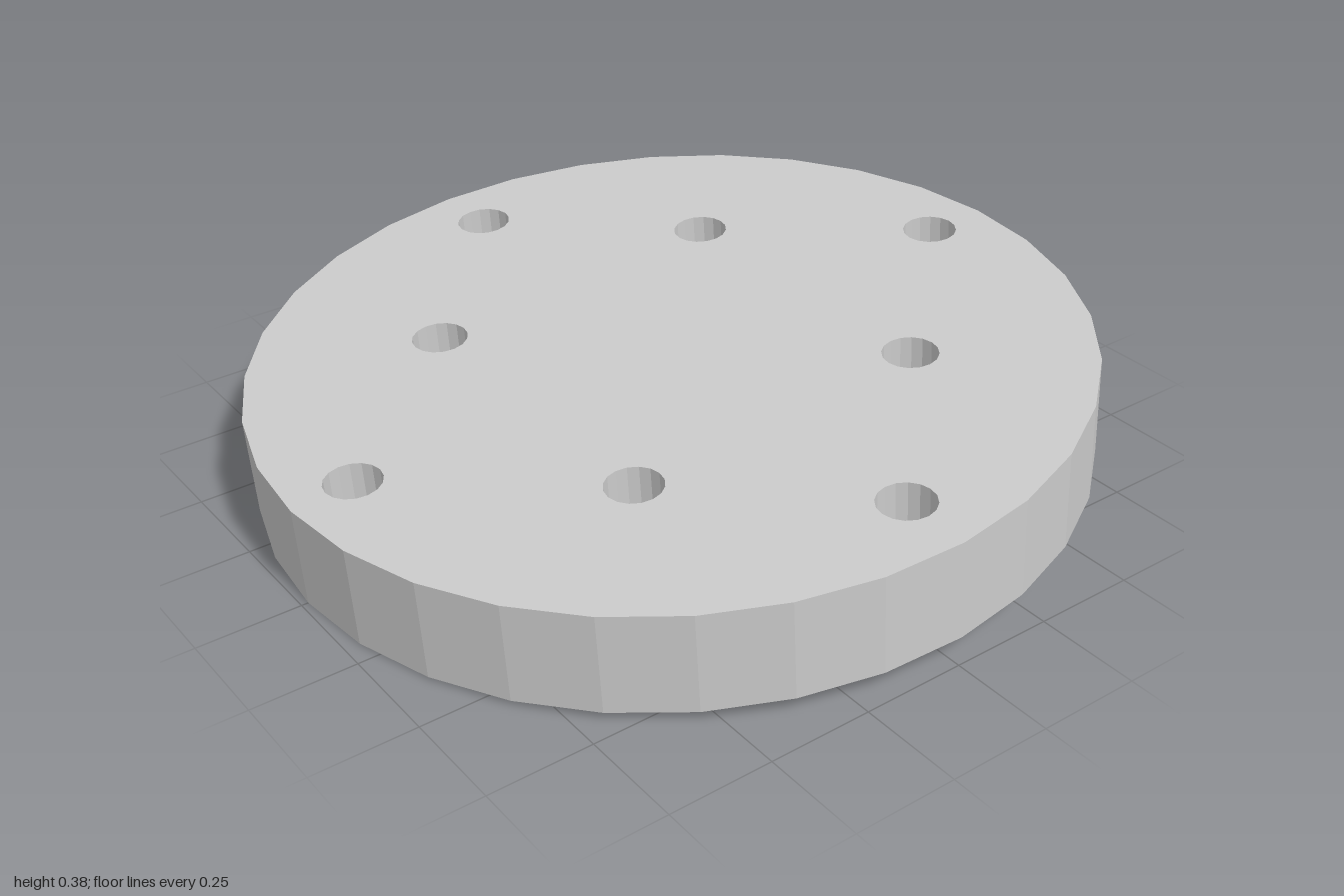
import * as THREE from 'three';

const RADIUS = 0.994, THICKNESS = 0.247, TILT = 0.066;

// Points of a regular polygon with a corner on each axis
function ring(cx, cy, radius, sides) {
  return Array.from({ length: sides }, (_, i) => {
    const a = (i / sides) * Math.PI * 2;
    return new THREE.Vector2(cx + radius * Math.cos(a), cy + radius * Math.sin(a));
  });
}

export function createModel() {
  const model = new THREE.Group();
  model.name = 'drilledDisc';

  // 32-sided disc outline
  const outline = new THREE.Shape(ring(0, 0, RADIUS, 32));

  // Eight through holes as [x, z]: four near the rim, four on a smaller square
  const holes = [
    [-0.01, -0.834], [-0.01, 0.839], [-0.824, -0.005], [0.816, -0.005],
    [-0.404, -0.4], [0.394, -0.4], [-0.394, 0.389], [0.399, 0.389],
  ];
  for (const [x, z] of holes) outline.holes.push(new THREE.Path(ring(x, -z, 0.067, 16)));

  // Lay the plate flat, centred on its thickness
  const geometry = new THREE.ExtrudeGeometry(outline, { depth: THICKNESS, bevelEnabled: false });
  geometry.translate(0, 0, -THICKNESS / 2);
  geometry.rotateX(-Math.PI / 2);

  const plate = new THREE.Mesh(
    geometry,
    new THREE.MeshStandardMaterial({ color: 0xcccccc, flatShading: true })
  );
  plate.name = 'plate';

  // Tip the plate so its back edge is raised and its front edge rests on the ground
  plate.rotation.x = TILT;
  plate.position.y = RADIUS * Math.sin(TILT) + (THICKNESS / 2) * Math.cos(TILT);
  model.add(plate);
  return model;
}
